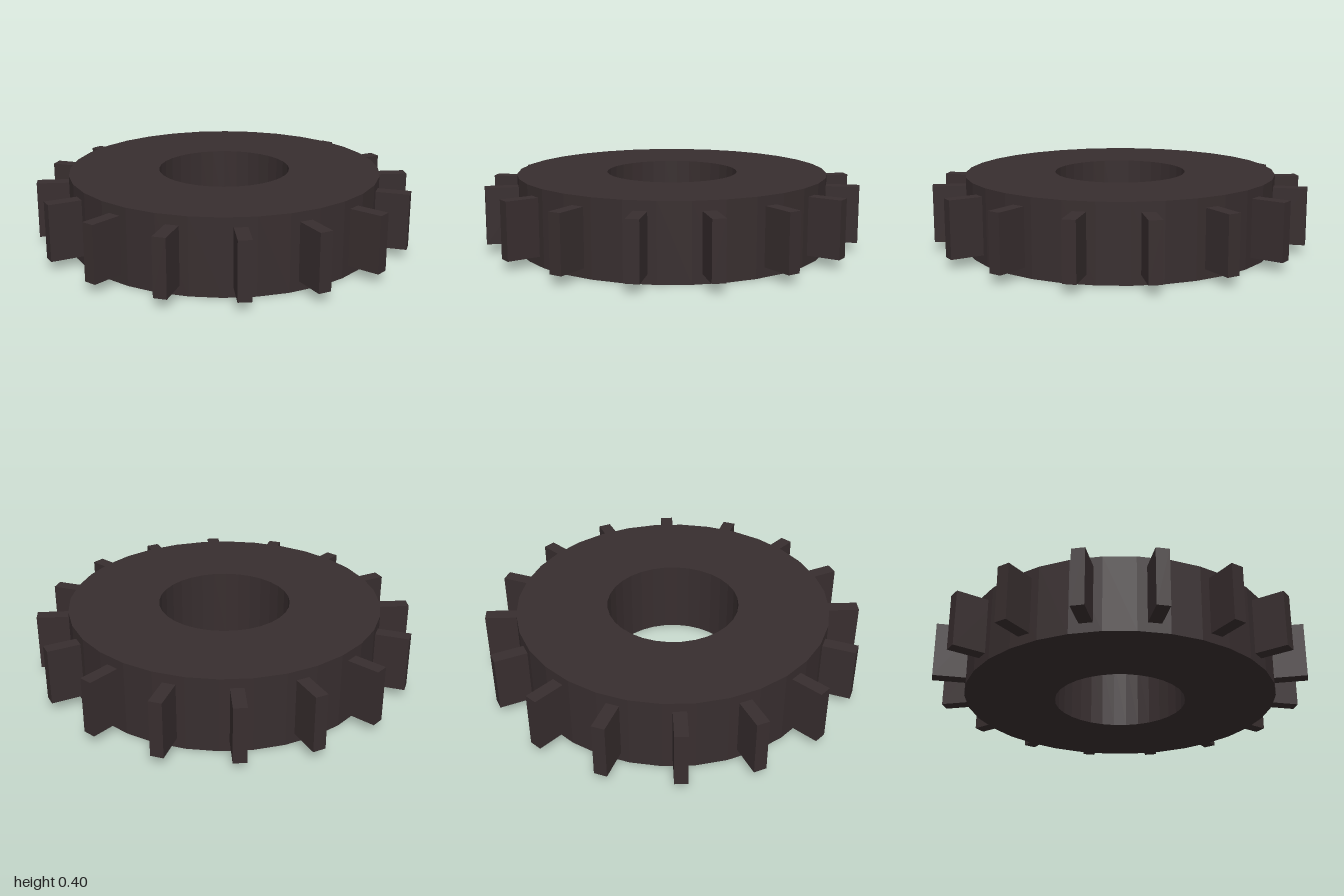
import * as THREE from 'three';

export function createModel() {
  const group = new THREE.Group();
  const darkRubber = new THREE.MeshStandardMaterial({ color: 0x382e2f, flatShading: true });
  darkRubber.name = 'darkBrown';

  const outerR = 0.83, innerR = 0.35, height = 0.4;
  const teeth = 16, tipR = 1.0, rootR = 0.78;

  // Ring body with a round bore
  const profile = [
    [innerR, 0], [outerR, 0], [outerR, height], [innerR, height], [innerR, 0],
  ].map(([x, y]) => new THREE.Vector2(x, y));
  const ring = new THREE.Mesh(new THREE.LatheGeometry(profile, 32), darkRubber);
  ring.name = 'ring';
  group.add(ring);

  // Radial teeth, slightly shorter than the ring
  const toothGeometry = new THREE.BoxGeometry(tipR - rootR, 0.3, 0.068);
  toothGeometry.translate((tipR + rootR) / 2, height / 2, 0);
  const offset = THREE.MathUtils.degToRad(5.4);
  for (let i = 0; i < teeth; i++) {
    const tooth = new THREE.Mesh(toothGeometry, darkRubber);
    tooth.name = `tooth${i + 1}`;
    tooth.rotation.y = -(offset + (i * Math.PI * 2) / teeth);
    group.add(tooth);
  }
  return group;
}
